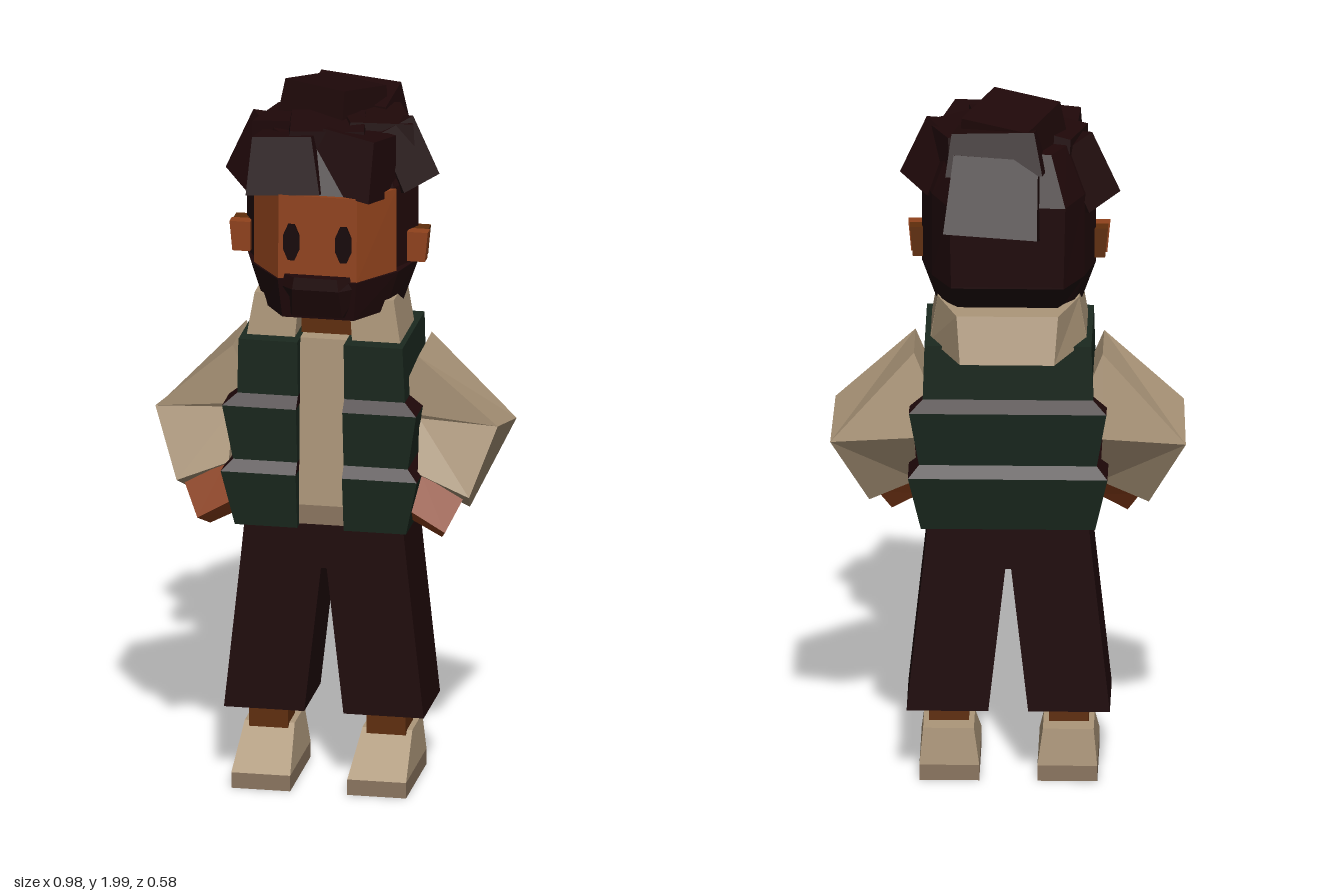
import * as THREE from 'three';

const mat = (name, color) => {
  const m = new THREE.MeshStandardMaterial({ color });
  m.name = name;
  return m;
};

// Flat-faced solid through rings of [x, y, z] points, capped at both ends
function loft(rings) {
  const n = rings[0].length, tris = [];
  for (let r = 0; r < rings.length - 1; r++) {
    for (let i = 0; i < n; i++) {
      const j = (i + 1) % n;
      const a = rings[r][i], b = rings[r][j], c = rings[r + 1][j], d = rings[r + 1][i];
      tris.push([a, b, c], [a, c, d]);
    }
  }
  const first = rings[0], last = rings[rings.length - 1];
  for (let i = 1; i < n - 1; i++) {
    tris.push([first[0], first[i + 1], first[i]], [last[0], last[i], last[i + 1]]);
  }
  // Turn the faces outward, judged by signed volume about the first point
  const o = new THREE.Vector3(...first[0]);
  let volume = 0;
  for (const t of tris) {
    const [a, b, c] = t.map((p) => new THREE.Vector3(...p).sub(o));
    volume += a.dot(b.cross(c));
  }
  const flat = tris.flatMap((t) => (volume < 0 ? [t[0], t[2], t[1]] : t)).flat();
  const g = new THREE.BufferGeometry();
  g.setAttribute('position', new THREE.Float32BufferAttribute(flat, 3));
  g.computeVertexNormals();
  return g;
}

// Level rectangle at height y
const rect = (y, x0, x1, z0, z1) => [[x0, y, z0], [x1, y, z0], [x1, y, z1], [x0, y, z1]];
// Level ring made symmetric from its +x half, listed front to back
const symmetric = (y, half) => [
  ...half.map(([x, z]) => [x, y, z]),
  ...half.slice().reverse().map(([x, z]) => [-x, y, z]),
];

export function createModel() {
  const model = new THREE.Group();
  model.name = 'standingMan';
  const cream = mat('cream cloth', 0xad977a);
  const tan = mat('tan trim', 0x8b7560);
  const skin = mat('skin', 0x90421c);
  const skinDark = mat('dark skin', 0x602e0c);
  const dark = mat('dark brown', 0x1f0809);
  const green = mat('vest green', 0x1b291f);
  const eyeDark = mat('eye', 0x150607);

  const add = (name, material, rings) => {
    const mesh = new THREE.Mesh(loft(rings), material);
    mesh.name = name;
    model.add(mesh);
  };
  const addPair = (name, material, rings) => {
    add(name + 'Left', material, rings);
    add(name + 'Right', material, rings.map((r) => r.map(([x, y, z]) => [-x, y, z])));
  };

  // Shoes, ankles and trousers
  addPair('sole', tan, [rect(0, 0.08, 0.245, -0.065, 0.235), rect(0.045, 0.08, 0.245, -0.065, 0.235)]);
  addPair('shoe', cream, [rect(0.045, 0.08, 0.245, -0.065, 0.235), rect(0.15, 0.095, 0.235, -0.055, 0.09)]);
  addPair('ankle', skinDark, [rect(0.14, 0.11, 0.22, 0.005, 0.11), rect(0.25, 0.11, 0.22, 0.005, 0.11)]);
  addPair('trouserLeg', dark, [rect(0.21, 0.055, 0.28, -0.08, 0.16), rect(0.63, 0.008, 0.235, -0.08, 0.16)]);
  add('trouserHip', dark, [rect(0.63, -0.235, 0.235, -0.08, 0.16), rect(0.78, -0.22, 0.22, -0.08, 0.16)]);

  // Shirt front with hem
  add('shirtHem', tan, [rect(0.765, -0.07, 0.07, 0, 0.185), rect(0.82, -0.07, 0.07, 0, 0.185)]);
  add('shirtFront', cream, [rect(0.82, -0.07, 0.07, 0, 0.185), rect(1.3, -0.07, 0.07, 0, 0.165)]);

  // Padded vest: levels of [y, half width, back z, front z], green tiers with dark seams between
  const levels = [
    [0.76, 0.24, -0.115, 0.21], [0.92, 0.275, -0.15, 0.235],
    [0.95, 0.245, -0.12, 0.21], [1.11, 0.272, -0.145, 0.23],
    [1.14, 0.235, -0.11, 0.2], [1.3, 0.23, -0.115, 0.21],
  ];
  for (let i = 0; i < levels.length - 1; i++) {
    const pair = [levels[i], levels[i + 1]];
    const material = i % 2 ? dark : green, name = i % 2 ? 'vestSeam' : 'vestTier';
    add(name + 'Back', material, pair.map(([y, x, zb]) => rect(y, -x, x, zb, 0.03)));
    addPair(name + 'Front', material, pair.map(([y, x, , zf]) => rect(y, 0.065, x, 0.03, zf)));
  }

  // Bent arms with hands at the hips; rings run outer front, outer back, inner back, inner front
  const elbow = [[0.48, 1.06, 0.12], [0.49, 1.01, -0.105], [0.26, 1.02, -0.095], [0.26, 1.07, 0.12]];
  addPair('upperSleeve', cream, [
    [[0.26, 1.255, 0.135], [0.26, 1.26, -0.065], [0.19, 1.09, -0.085], [0.19, 1.09, 0.13]], elbow,
  ]);
  addPair('lowerSleeve', cream, [
    elbow, [[0.41, 0.865, 0.175], [0.385, 0.79, 0.03], [0.25, 0.85, 0.03], [0.265, 0.925, 0.17]],
  ]);
  addPair('hand', skin, [
    [[0.39, 0.855, 0.16], [0.36, 0.8, 0.06], [0.26, 0.85, 0.06], [0.275, 0.92, 0.16]],
    [[0.347, 0.768, 0.2], [0.325, 0.73, 0.125], [0.24, 0.775, 0.125], [0.25, 0.825, 0.2]],
  ]);

  // Neck, collar and folded hood narrowing to the back
  add('neck', skinDark, [rect(1.28, -0.07, 0.07, -0.05, 0.12), rect(1.44, -0.07, 0.07, -0.05, 0.12)]);
  addPair('collar', cream, [rect(1.3, 0.08, 0.215, -0.04, 0.165), rect(1.42, 0.07, 0.195, -0.04, 0.155)]);
  add('hood', cream, [
    symmetric(1.29, [[0.215, -0.04], [0.13, -0.235]]),
    symmetric(1.42, [[0.195, -0.04], [0.14, -0.2]]),
  ]);

  // Head with hair and beard
  add('beardAndHair', dark, [
    symmetric(1.385, [[0.1, 0.245], [0.17, 0.14], [0.2, 0.04], [0.17, -0.05], [0.13, -0.1]]),
    symmetric(1.5, [[0.11, 0.262], [0.205, 0.14], [0.24, 0.03], [0.21, -0.09], [0.155, -0.195]]),
    symmetric(1.505, [[0.1, 0.235], [0.19, 0.13], [0.24, 0.03], [0.21, -0.09], [0.155, -0.195]]),
    symmetric(1.74, [[0.1, 0.235], [0.19, 0.13], [0.24, 0.03], [0.21, -0.09], [0.16, -0.2]]),
    symmetric(1.88, [[0.09, 0.17], [0.15, 0.1], [0.18, 0.02], [0.16, -0.08], [0.12, -0.15]]),
  ]);
  add('face', skin, [
    symmetric(1.5, [[0.11, 0.257], [0.2, 0.137]]),
    symmetric(1.74, [[0.11, 0.247], [0.2, 0.137]]),
  ]);
  add('moustache', dark, [
    symmetric(1.395, [[0.07, 0.258], [0.1, 0.2]]),
    symmetric(1.48, [[0.065, 0.287], [0.12, 0.24]]),
    symmetric(1.515, [[0.06, 0.285], [0.11, 0.24]]),
  ]);
  addPair('earFront', skin, [rect(1.515, 0.22, 0.27, 0.055, 0.09), rect(1.6, 0.22, 0.278, 0.055, 0.09)]);
  addPair('earBack', skinDark, [rect(1.515, 0.22, 0.265, 0.015, 0.055), rect(1.6, 0.22, 0.273, 0.015, 0.055)]);

  // Eyes as thin octagonal plates
  const octagon = (z) => Array.from({ length: 8 }, (_, i) => {
    const a = (i + 0.5) * Math.PI / 4;
    return [0.073 + 0.024 * Math.cos(a), 1.607 + 0.056 * Math.sin(a), z];
  });
  addPair('eye', eyeDark, [octagon(0.25), octagon(0.259)]);

  // Chunky hair locks: position, size, rotation, taper of the top
  const locks = [
    [[-0.01, 1.915, -0.045], [0.23, 0.12, 0.21], [-0.18, -0.48, 0.03], 0.9],
    [[-0.1, 1.805, 0.15], [0.21, 0.16, 0.17], [-0.15, -0.05, 0.08], 0.8],
    [[0.085, 1.815, 0.145], [0.2, 0.17, 0.16], [-0.1, -0.32, -0.1], 0.8],
    [[-0.19, 1.775, 0], [0.12, 0.19, 0.13], [0, 0.7, -0.4], 0.95],
    [[0.185, 1.805, 0.025], [0.12, 0.18, 0.13], [0, 0.7, 0.4], 0.95],
    [[0.035, 1.765, -0.185], [0.26, 0.22, 0.13], [0.35, -0.08, 0.04], 0.9],
    [[0.03, 1.88, -0.12], [0.27, 0.12, 0.17], [0.2, -0.1, -0.06], 0.85],
    [[0.11, 1.86, 0.01], [0.21, 0.11, 0.2], [0, 0.4, -0.12], 0.85],
    [[-0.11, 1.85, 0.02], [0.19, 0.11, 0.18], [0, -0.3, 0.15], 0.85],
    [[0, 1.86, 0.1], [0.24, 0.11, 0.17], [0.1, 0.15, 0], 0.85],
  ];
  for (const [p, [w, h, d], [rx, ry, rz], t] of locks) {
    const ends = [[-h / 2, 1], [h / 2, t]];
    const lock = new THREE.Mesh(
      loft(ends.map(([y, k]) => rect(y, -k * w / 2, k * w / 2, -k * d / 2, k * d / 2))), dark);
    lock.name = 'hairLock';
    lock.position.set(...p);
    lock.rotation.set(rx, ry, rz, 'ZYX');
    model.add(lock);
  }
  return model;
}
